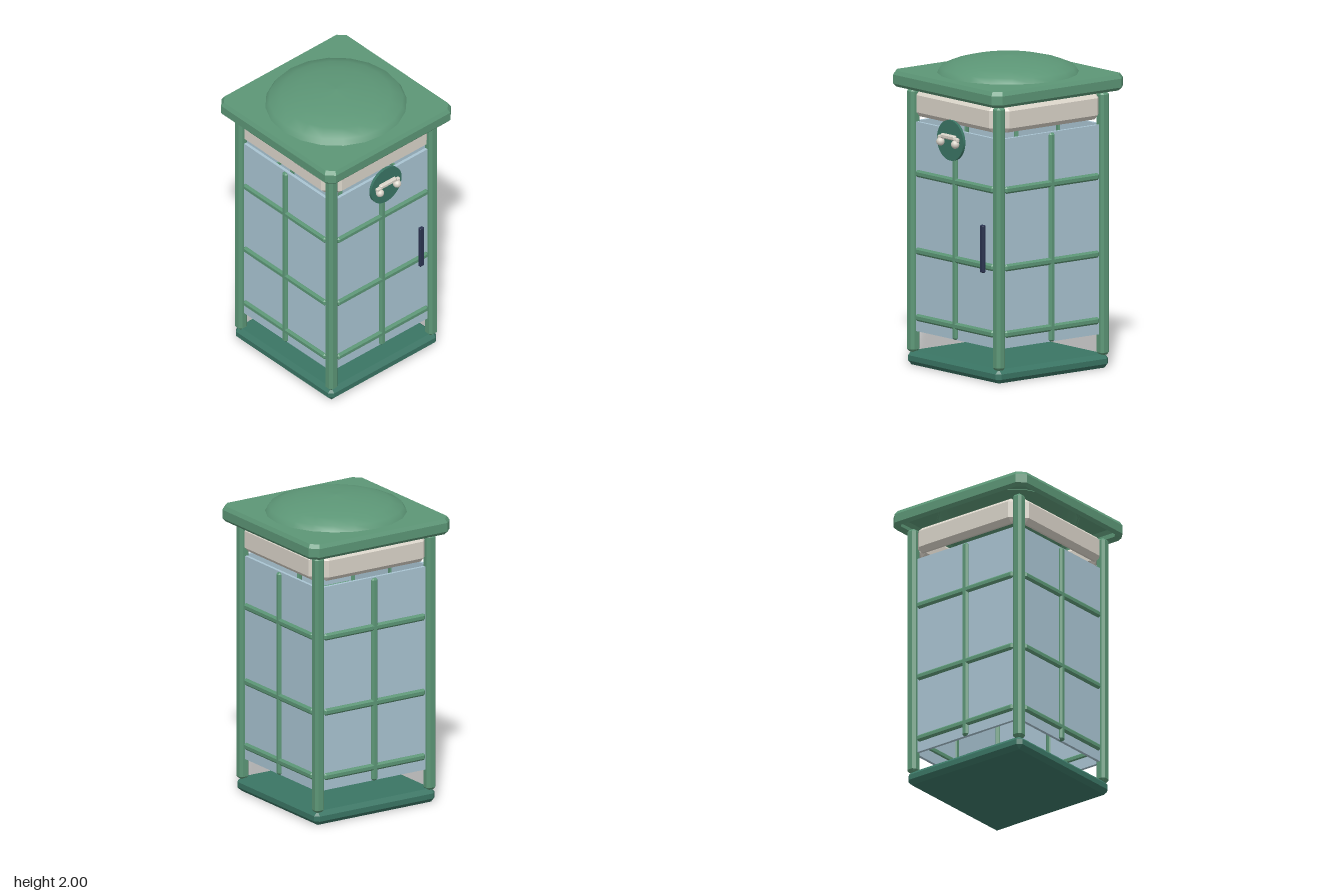
import * as THREE from 'three';
import { ConvexGeometry } from 'three/addons/geometries/ConvexGeometry.js';

const paint = (color, extra = {}) => new THREE.MeshStandardMaterial({ color, ...extra });

// Box with every edge chamfered by c
function chamferBox(w, h, d, c) {
  const points = [];
  for (const sx of [-1, 1]) for (const sy of [-1, 1]) for (const sz of [-1, 1]) {
    const x = w / 2, y = h / 2, z = d / 2;
    points.push(new THREE.Vector3(sx * x, sy * (y - c), sz * (z - c)));
    points.push(new THREE.Vector3(sx * (x - c), sy * y, sz * (z - c)));
    points.push(new THREE.Vector3(sx * (x - c), sy * (y - c), sz * z));
  }
  return new ConvexGeometry(points);
}

// Square outline with cut corners, counter-clockwise
function cutSquare(half, cut) {
  const s = half - cut;
  return [[half, -s], [half, s], [s, half], [-s, half], [-half, s], [-half, -s], [-s, -half], [s, -half]];
}

// Flat-shaded skin through stacked cut squares [half, cut, y]
function squareSkin(levels) {
  const pos = [];
  const rings = levels.map(([half, cut, y]) => cutSquare(half, cut).map(([x, z]) => [x, y, -z]));
  for (let i = 0; i < rings.length - 1; i++) for (let j = 0; j < 8; j++) {
    const k = (j + 1) % 8;
    const a = rings[i][j], b = rings[i][k], c = rings[i + 1][k], d = rings[i + 1][j];
    pos.push(...a, ...b, ...c, ...a, ...c, ...d);
  }
  const geo = new THREE.BufferGeometry();
  geo.setAttribute('position', new THREE.Float32BufferAttribute(pos, 3));
  geo.computeVertexNormals();
  return geo;
}

export function createModel() {
  const model = new THREE.Group();
  model.name = 'phoneBooth';
  const green = paint(0x5c9676);
  const greenShell = paint(0x5c9676, { side: THREE.DoubleSide });
  const darkGreen = paint(0x3a7564);
  const cream = paint(0xdad4c9);
  const glass = paint(0xa9c4d2);
  const navy = paint(0x2a3350);

  const add = (parent, name, geometry, material, x = 0, y = 0, z = 0) => {
    const mesh = new THREE.Mesh(geometry, material);
    mesh.name = name;
    mesh.position.set(x, y, z);
    parent.add(mesh);
    return mesh;
  };

  // Base slab
  add(model, 'base', chamferBox(0.92, 0.09, 0.92, 0.028), darkGreen, 0, 0.046, 0);

  // Corner posts
  const postGeo = chamferBox(0.07, 1.69, 0.07, 0.017);
  for (const x of [-0.425, 0.425]) for (const z of [-0.425, 0.425]) {
    add(model, 'cornerPost', postGeo, green, x, 0.93, z);
  }

  // Four identical walls: glass, glazing bars and sign beam
  const glassGeo = new THREE.BoxGeometry(0.78, 1.345, 0.02);
  const uprightGeo = chamferBox(0.045, 1.34, 0.045, 0.012);
  const crossGeo = chamferBox(0.77, 0.045, 0.045, 0.012);
  const signGeo = chamferBox(0.78, 0.17, 0.075, 0.03);
  for (let i = 0; i < 4; i++) {
    const wall = new THREE.Group();
    wall.name = ['frontWall', 'leftWall', 'backWall', 'rightWall'][i];
    wall.rotation.y = i * Math.PI / 2;
    add(wall, 'glassPane', glassGeo, glass, 0, 0.8925, 0.42);
    add(wall, 'uprightBar', uprightGeo, green, 0, 0.89, 0.425);
    for (const y of [0.31, 0.737, 1.235]) add(wall, 'crossBar', crossGeo, green, 0, y, 0.425);
    add(wall, 'signBeam', signGeo, cream, 0, 1.687, 0.415);
    model.add(wall);
  }

  // Roof: hollow rim, open below
  const roof = new THREE.Group();
  roof.name = 'roof';
  model.add(roof);
  add(roof, 'roofRim', squareSkin([
    [0.495, 0.03, 1.81], [0.52, 0.045, 1.788], [0.537, 0.05, 1.808],
    [0.537, 0.05, 1.865], [0.522, 0.045, 1.89],
  ]), greenShell);

  // Roof top with a round opening under the dome
  const top = new THREE.Shape(cutSquare(0.522, 0.045).map(([x, y]) => new THREE.Vector2(x, y)));
  top.holes.push(new THREE.Path().absarc(0, 0, 0.44, 0, Math.PI * 2, true));
  const topGeo = new THREE.ShapeGeometry(top, 10).rotateX(-Math.PI / 2);
  add(roof, 'roofTop', topGeo, greenShell, 0, 1.89, 0);

  // Shallow dome
  const dome = [[0.452, 1.885], [0.425, 1.925], [0.35, 1.955], [0.25, 1.98], [0.12, 1.993], [0, 2]];
  add(roof, 'dome', new THREE.LatheGeometry(dome.map(([r, y]) => new THREE.Vector2(r, y)), 20), greenShell);

  // Door handle
  add(model, 'doorHandle', chamferBox(0.034, 0.305, 0.024, 0.005), navy, 0.307, 0.852, 0.461);

  // Round plaque with a handset on it
  const plaque = new THREE.Group();
  plaque.name = 'plaque';
  plaque.position.set(0, 1.505, 0);
  model.add(plaque);
  add(plaque, 'plaqueDisc', new THREE.CylinderGeometry(0.13, 0.13, 0.018, 32).rotateX(Math.PI / 2), darkGreen, 0, 0, 0.465);
  add(plaque, 'handsetGrip', chamferBox(0.14, 0.032, 0.03, 0.008), cream, 0, 0.024, 0.487);
  for (const s of [-1, 1]) {
    add(plaque, 'handsetShoulder', chamferBox(0.035, 0.03, 0.026, 0.006), cream, s * 0.08, 0.012, 0.487);
    add(plaque, 'handsetCup', new THREE.SphereGeometry(0.027, 14, 10), cream, s * 0.073, -0.014, 0.493);
  }
  return model;
}
